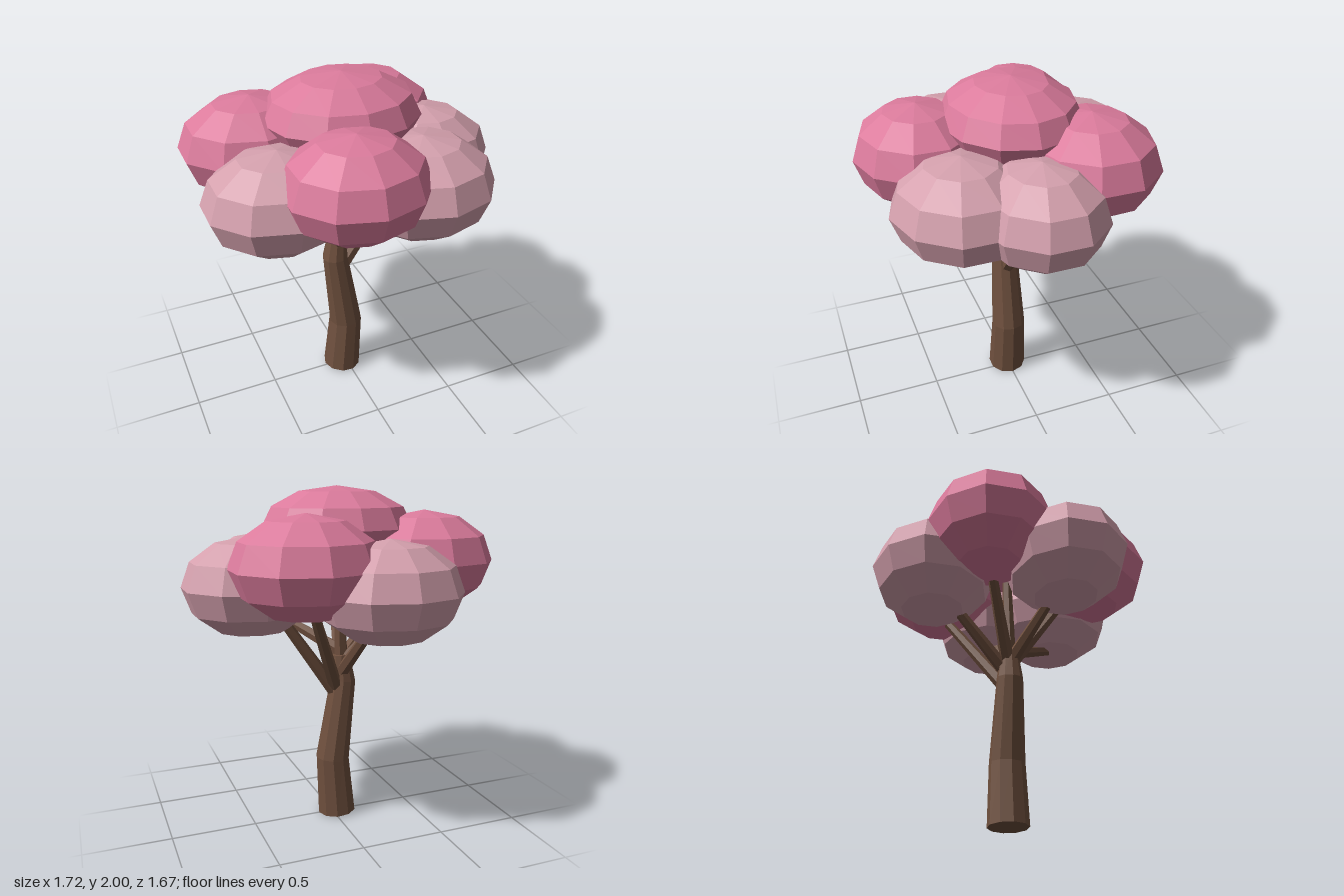
import * as THREE from 'three';

const material = (name, color) => {
  const m = new THREE.MeshStandardMaterial({ color, flatShading: true });
  m.name = name;
  return m;
};

// Capped tube through [x, y, z, radius] rings, each set square to the path
function limb(rings, sides) {
  const up = new THREE.Vector3(0, 1, 0);
  const points = rings.map(r => new THREE.Vector3(r[0], r[1], r[2]));
  const last = points.length - 1;
  const positions = [];
  const index = [];
  points.forEach((p, i) => {
    const direction = points[Math.min(i + 1, last)].clone().sub(points[Math.max(i - 1, 0)]).normalize();
    const turn = new THREE.Quaternion().setFromUnitVectors(up, direction);
    for (let s = 0; s < sides; s++) {
      const a = ((s + 0.5) / sides) * Math.PI * 2;
      const v = new THREE.Vector3(Math.sin(a), 0, Math.cos(a)).multiplyScalar(rings[i][3]);
      positions.push(...v.applyQuaternion(turn).add(p).toArray());
    }
  });
  for (let s = 0; s < sides; s++) {
    const t = (s + 1) % sides;
    for (let i = 0; i < last; i++) {
      const a = i * sides + s, b = i * sides + t;
      index.push(a, b, b + sides, a, b + sides, a + sides);
    }
    // End caps as fans
    if (s > 0 && s < sides - 1) {
      index.push(0, t, s, last * sides, last * sides + s, last * sides + t);
    }
  }
  const geometry = new THREE.BufferGeometry();
  geometry.setAttribute('position', new THREE.Float32BufferAttribute(positions, 3));
  geometry.setIndex(index);
  geometry.computeVertexNormals();
  return geometry;
}

export function createModel() {
  const bark = material('brown bark', 0x6f503e);
  const pink = material('deep pink blossom', 0xdb7b9c);
  const pale = material('pale pink blossom', 0xd4a0ad);
  const tree = new THREE.Group();
  tree.name = 'blossomTree';

  const add = (name, geometry, mat) => {
    const mesh = new THREE.Mesh(geometry, mat);
    mesh.name = name;
    tree.add(mesh);
    return mesh;
  };

  // Bent trunk
  add('trunk', limb([
    [-0.03, 0.01, 0, 0.117],
    [-0.003, 0.37, 0, 0.103],
    [-0.07, 0.86, 0, 0.077],
    [-0.055, 1.02, 0, 0.055],
  ], 10), bark);

  // Branches: start, then end inside a blossom clump
  const branches = [
    [[-0.03, 0.77, 0], [0.38, 1.36, 0]],
    [[-0.02, 0.82, -0.01], [0.25, 1.38, -0.36]],
    [[-0.05, 1.04, 0.02], [0.22, 1.21, 0.33]],
    [[-0.06, 0.97, 0.02], [-0.13, 1.42, 0.35]],
    [[-0.06, 0.98, 0.01], [-0.4, 1.27, 0.18]],
    [[-0.06, 0.96, -0.01], [-0.4, 1.42, -0.2]],
    [[-0.05, 0.9, -0.01], [-0.13, 1.32, -0.4]],
    [[-0.06, 0.95, 0], [-0.03, 1.62, -0.01]],
  ];
  branches.forEach(([from, to], i) =>
    add(`branch${i + 1}`, limb([[...from, 0.042], [...to, 0.027]], 6), bark));

  // Ring of blossom clumps: x, z, x radius, z radius
  const clump = (name, mat, x, y, z, rx, ry, rz, sides) => {
    const geometry = new THREE.SphereGeometry(1, sides, 6).rotateY(Math.PI / 2);
    add(name, geometry.scale(rx, ry, rz), mat).position.set(x, y, z);
  };
  const upper = [[-0.15, 0.47, 0.395, 0.36], [0.28, -0.355, 0.413, 0.385], [-0.47, -0.22, 0.41, 0.355]];
  const lower = [[0.48, 0, 0.395, 0.355], [0.28, 0.355, 0.413, 0.385],
    [-0.47, 0.22, 0.41, 0.355], [-0.14, -0.48, 0.41, 0.36]];
  upper.forEach(([x, z, rx, rz], i) => clump(`upperBlossom${i + 1}`, pink, x, 1.585, z, rx, 0.283, rz, 10));
  lower.forEach(([x, z, rx, rz], i) => clump(`lowerBlossom${i + 1}`, pale, x, 1.453, z, rx, 0.283, rz, 10));

  // Crown clump
  clump('crownBlossom', pink, -0.02, 1.77, -0.02, 0.445, 0.23, 0.395, 12);

  return tree;
}
